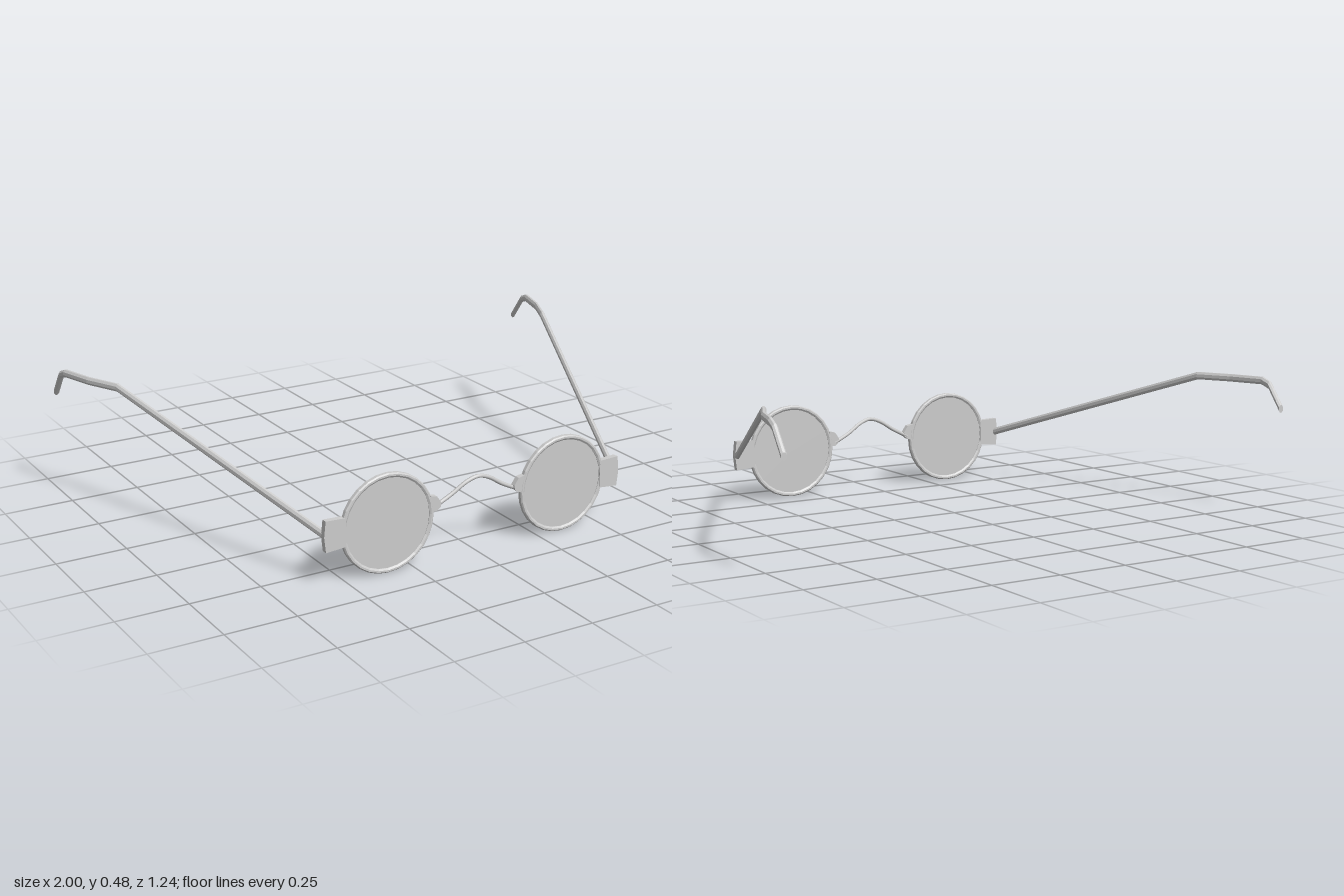
import * as THREE from 'three';

const material = new THREE.MeshStandardMaterial({ color: 0xcccccc, flatShading: true });
const smooth = new THREE.MeshStandardMaterial({ color: 0xcccccc });
const Z = 0.607, LENS_X = 0.345, LENS_Y = 0.173, DEPTH = 0.021;

function add(group, name, geometry, mat = material) {
  const mesh = new THREE.Mesh(geometry, mat);
  mesh.name = name;
  group.add(mesh);
  return mesh;
}

// Flat plate cut from an outline in the front plane
function plate(points, side, depth) {
  const shape = new THREE.Shape(points.map(([x, y]) => new THREE.Vector2(x * side, y)));
  return new THREE.ExtrudeGeometry(shape, { depth, bevelEnabled: false }).translate(0, 0, Z - depth / 2);
}

// Octagonal bar through stations [x, y, z], every section upright and parallel to the front
function bar(stations, side, width, height) {
  const n = 8, pos = [], index = [];
  for (const [x, y, z] of stations) {
    for (let i = 0; i < n; i++) {
      const a = ((i + 0.5) / n) * Math.PI * 2, k = 1 / Math.cos(Math.PI / n);
      pos.push(side * (x + Math.cos(a) * k * width / 2), y + Math.sin(a) * k * height / 2, z);
    }
  }
  const tri = (a, b, c) => (side > 0 ? index.push(a, b, c) : index.push(a, c, b));
  for (let s = 0; s < stations.length - 1; s++) {
    for (let i = 0; i < n; i++) {
      const a = s * n + i, b = s * n + (i + 1) % n;
      tri(a, a + n, b);
      tri(b, a + n, b + n);
    }
  }
  const last = (stations.length - 1) * n;
  for (let i = 1; i < n - 1; i++) {
    tri(0, i, i + 1);
    tri(last, last + i + 1, last + i);
  }
  const geometry = new THREE.BufferGeometry();
  geometry.setAttribute('position', new THREE.Float32BufferAttribute(pos, 3));
  geometry.setIndex(index);
  geometry.computeVertexNormals();
  return geometry;
}

export function createModel() {
  const glasses = new THREE.Group();
  glasses.name = 'roundGlasses';

  // Closed rim profile: radius, depth, with chamfered edges
  const h = DEPTH / 2;
  const rimProfile = [
    [0.157, -h * 0.6], [0.163, -h], [0.169, -h], [0.173, -h * 0.6],
    [0.173, h * 0.6], [0.169, h], [0.163, h], [0.157, h * 0.6], [0.157, -h * 0.6],
  ].map(([r, y]) => new THREE.Vector2(r, y));

  for (const side of [1, -1]) {
    const half = new THREE.Group();
    half.name = side > 0 ? 'leftSide' : 'rightSide';
    glasses.add(half);

    // Rim and lens
    add(half, 'rim', new THREE.LatheGeometry(rimProfile, 28).rotateX(Math.PI / 2)
      .translate(side * LENS_X, LENS_Y, Z));
    add(half, 'lens', new THREE.CylinderGeometry(0.16, 0.16, 0.009, 28).rotateX(Math.PI / 2)
      .translate(side * LENS_X, LENS_Y, Z));

    // Hinge plate on the outer edge of the rim
    add(half, 'hingePlate', plate([[0.502, 0.127], [0.576, 0.121], [0.582, 0.175],
      [0.576, 0.229], [0.502, 0.226]], side, DEPTH));

    // Tapered mount joining rim and bridge
    add(half, 'bridgeMount', plate([[0.185, 0.235], [0.162, 0.23], [0.145, 0.206],
      [0.147, 0.19], [0.162, 0.178], [0.181, 0.178]], side, DEPTH * 0.9));

    // Temple arm with its bent ear hook
    add(half, 'temple', bar([
      [0.571, 0.176, 0.6], [0.89, 0.47, -0.28], [0.947, 0.47, -0.4],
      [0.985, 0.47, -0.525], [0.989, 0.456, -0.56], [0.99, 0.377, -0.62],
    ], side, 0.02, 0.027));
  }

  // Arched nose bridge
  const arch = new THREE.CatmullRomCurve3([
    [-0.16, 0.19, 0.603], [-0.1, 0.22, 0.605], [-0.042, 0.256, 0.61], [0, 0.268, 0.613],
    [0.042, 0.256, 0.61], [0.1, 0.22, 0.605], [0.16, 0.19, 0.603],
  ].map((p) => new THREE.Vector3(...p)));
  add(glasses, 'bridge', new THREE.TubeGeometry(arch, 28, 0.007, 8), smooth);

  return glasses;
}
